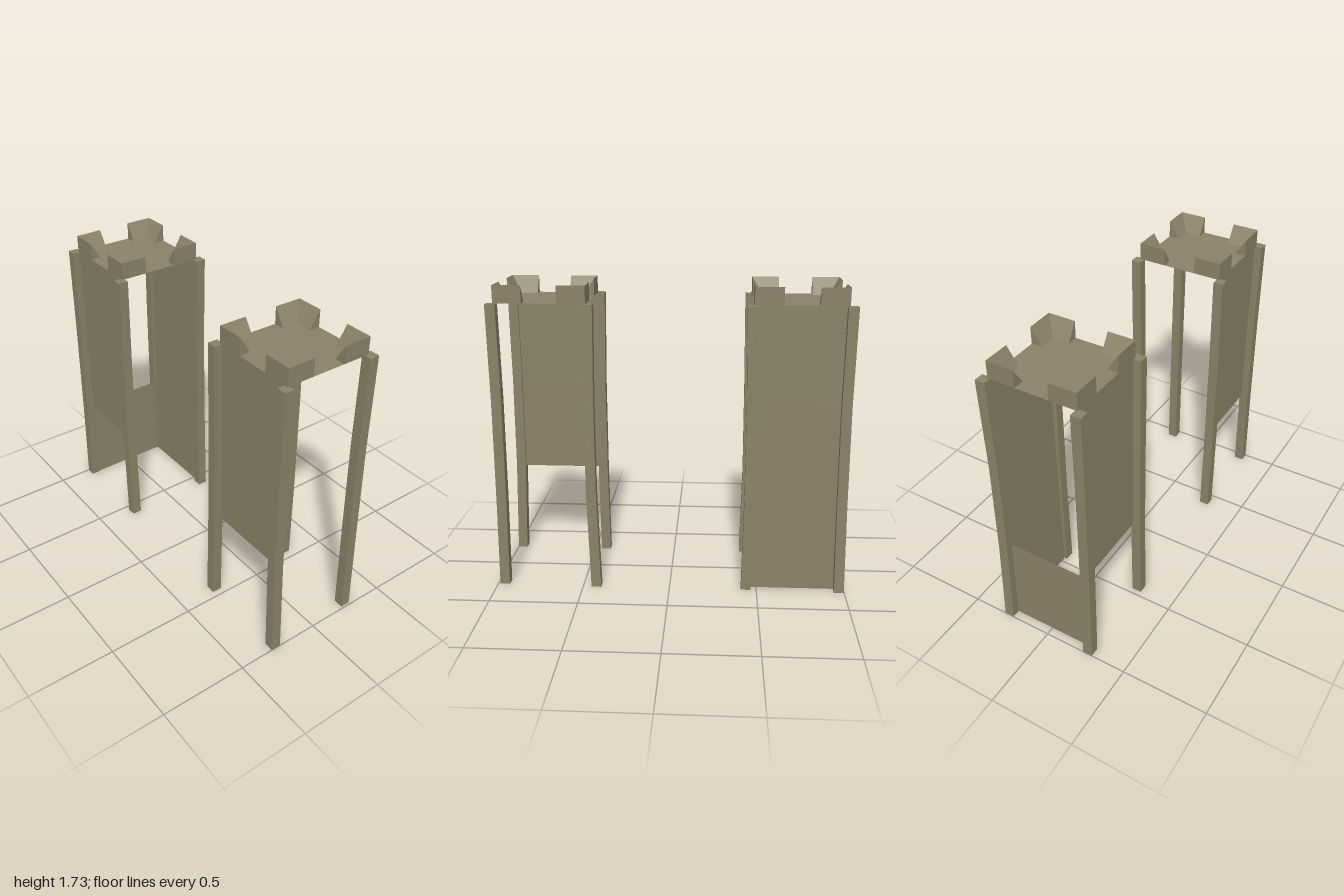
import * as THREE from 'three';

const TOP = 1.63, HALF = 0.25, LEG = 0.056;
const LEVELS = [0, 0.55, 1.1, TOP];

const stone = new THREE.MeshStandardMaterial({ color: 0x8a8168, flatShading: true, side: THREE.DoubleSide });
stone.name = 'weathered stone';

function mesh(name, geometry) {
  const m = new THREE.Mesh(geometry, stone);
  m.name = name;
  return m;
}

// Slightly bent square post; xs and zs are its centres at the four levels
function post(name, xs, zs) {
  const g = new THREE.BoxGeometry(LEG, 3, LEG, 1, 3, 1);
  const p = g.attributes.position;
  for (let i = 0; i < p.count; i++) {
    const row = Math.round(p.getY(i) + 1.5);
    p.setXYZ(i, p.getX(i) + xs[row], LEVELS[row], p.getZ(i) + zs[row]);
  }
  g.computeVertexNormals();
  return mesh(name, g);
}

// Thin wall between two levels, facing outward at the given turn
function wall(name, low, high, turn) {
  const g = new THREE.PlaneGeometry(HALF * 2, high - low, 1, low === 0 ? 1 : 2);
  g.translate(0, (low + high) / 2, HALF);
  const m = mesh(name, g);
  m.rotation.y = turn;
  return m;
}

// Corner battlement: mitred wedge, vertical outside and sloping inside
function battlement() {
  const L = 0.155, d = 0.062, h = 0.097, c = HALF;
  const stations = [[[L, 0], [L, d]], [[0, 0], [d, d]], [[0, L], [d, L]]];
  const rings = stations.map(([o, i]) => [
    [c - o[0], TOP, c - o[1]],
    [c - o[0], TOP + h, c - o[1]],
    [c - i[0], TOP, c - i[1]],
  ]);
  const v = [];
  const tri = (a, b, e) => v.push(...a, ...b, ...e);
  for (let s = 0; s < 2; s++) {
    for (let k = 0; k < 2; k++) {
      const a = rings[s][k], b = rings[s][k + 1];
      const e = rings[s + 1][k + 1], f = rings[s + 1][k];
      tri(a, f, e);
      tri(a, e, b);
    }
  }
  tri(rings[0][0], rings[0][1], rings[0][2]);
  tri(rings[2][0], rings[2][2], rings[2][1]);
  const g = new THREE.BufferGeometry();
  g.setAttribute('position', new THREE.Float32BufferAttribute(v, 3));
  g.computeVertexNormals();
  return g;
}

// Roof deck with a battlement on every corner, on a given centre
function crown(x) {
  const group = new THREE.Group();
  group.name = 'towerBody';
  group.position.set(x, 0, 0.003);
  const deck = new THREE.PlaneGeometry(HALF * 2, HALF * 2);
  deck.rotateX(-Math.PI / 2);
  deck.translate(0, TOP, 0);
  group.add(mesh('roofDeck', deck));
  const g = battlement();
  for (let k = 0; k < 4; k++) {
    const b = mesh('battlement', g);
    b.rotation.y = k * Math.PI / 2;
    group.add(b);
  }
  return group;
}

export function createModel() {
  const model = new THREE.Group();
  model.name = 'twinTowers';

  // Tower with walls: front upper, full back, one lower side
  const right = new THREE.Group();
  right.name = 'rightTower';
  const rightBody = crown(-0.7);
  rightBody.add(
    wall('frontWall', 0.55, TOP, 0),
    wall('backUpperWall', 0.55, TOP, Math.PI),
    wall('backLowerWall', 0, 0.55, Math.PI),
    wall('sideLowerWall', 0, 0.55, -Math.PI / 2),
  );
  right.add(
    rightBody,
    post('frontOuterPost', [-0.972, -0.962, -0.958, -0.963], [0.268, 0.268, 0.268, 0.268]),
    post('frontInnerPost', [-0.44, -0.451, -0.449, -0.443], [0.268, 0.268, 0.268, 0.268]),
    post('backOuterPost', [-0.97, -0.962, -0.958, -0.963], [-0.268, -0.256, -0.254, -0.262]),
    post('backInnerPost', [-0.44, -0.449, -0.449, -0.441], [-0.258, -0.256, -0.252, -0.254]),
  );

  // Open tower with only a front upper wall
  const left = new THREE.Group();
  left.name = 'leftTower';
  const leftBody = crown(0.7);
  leftBody.add(wall('frontWall', 0.55, TOP, 0));
  left.add(
    leftBody,
    post('frontInnerPost', [0.434, 0.442, 0.444, 0.437], [0.268, 0.268, 0.268, 0.268]),
    post('frontOuterPost', [0.972, 0.956, 0.952, 0.957], [0.268, 0.268, 0.268, 0.268]),
    post('backInnerPost', [0.423, 0.442, 0.444, 0.437], [-0.267, -0.255, -0.252, -0.254]),
    post('backOuterPost', [0.96, 0.954, 0.952, 0.957], [-0.258, -0.255, -0.252, -0.254]),
  );

  model.add(right, left);
  return model;
}
